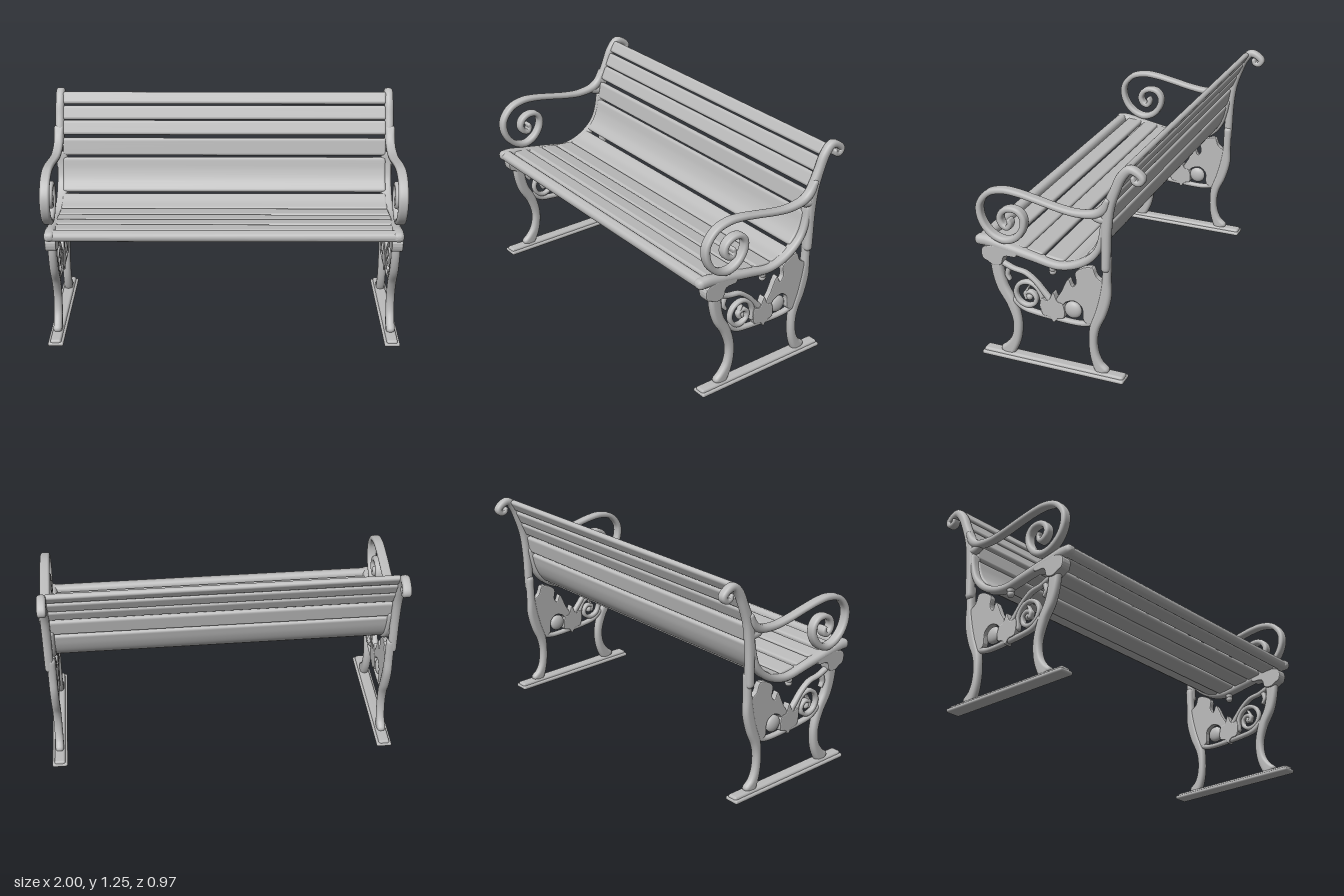
import * as THREE from 'three';

const paint = new THREE.MeshStandardMaterial({ color: 0xbcbcbc });
paint.name = 'pale grey paint';

// Rounded-rectangle outline: u lies in the side plane, x runs across the bench
function outline(w, d, r) {
  const ring = [];
  for (let c = 0; c < 4; c++) {
    const su = c === 0 || c === 3 ? 1 : -1, sx = c < 2 ? 1 : -1;
    for (let k = 0; k < 4; k++) {
      const a = (c + k / 3) * Math.PI / 2;
      ring.push([su * (w / 2 - r) + r * Math.cos(a), sx * (d / 2 - r) + r * Math.sin(a)]);
    }
  }
  return ring;
}

// Bar swept along a side-plane path; points are [z, y, width] in hundredths
function bar(name, points, depth, steps = points.length * 6) {
  const curve = new THREE.CatmullRomCurve3(points.map(([z, y, w]) => new THREE.Vector3(w, y, z).multiplyScalar(0.01)));
  const pos = [], index = [], M = 16;
  const centres = [];
  let rings = 0;
  const addRing = (t, shift, inset) => {
    const p = curve.getPoint(t), g = curve.getTangent(t);
    const len = Math.hypot(g.y, g.z), ty = g.y / len, tz = g.z / len;
    const r = Math.min(p.x, depth) * 0.4;
    const y = p.y + ty * shift * r, z = p.z + tz * shift * r;
    const k = inset * r;
    for (const [u, x] of outline(p.x - 2 * k, depth - 2 * k, r - k * 0.98)) pos.push(x, y - tz * u, z + ty * u);
    centres[rings++] = [0, y, z];
  };
  const round = [1.5, 1.0, 0.5];
  round.forEach(a => addRing(0, -Math.sin(a), 1 - Math.cos(a)));
  for (let i = 0; i <= steps; i++) addRing(i / steps, 0, 0);
  round.slice().reverse().forEach(a => addRing(1, Math.sin(a), 1 - Math.cos(a)));
  for (let i = 0; i < rings - 1; i++) {
    for (let j = 0; j < M; j++) {
      const a = i * M + j, b = i * M + (j + 1) % M;
      index.push(a, b, b + M, a, b + M, a + M);
    }
  }
  const first = rings * M, last = first + 1, end = (rings - 1) * M;
  pos.push(...centres[0], ...centres[rings - 1]);
  for (let j = 0; j < M; j++) {
    const k = (j + 1) % M;
    index.push(first, k, j, last, end + j, end + k);
  }
  const geo = new THREE.BufferGeometry();
  geo.setAttribute('position', new THREE.Float32BufferAttribute(pos, 3));
  geo.setIndex(index);
  geo.computeVertexNormals();
  return named(name, geo);
}

// Cast plate with a smooth outline; points are [z, y] in hundredths
function plate(name, points, depth) {
  const loop = new THREE.CatmullRomCurve3(points.map(([z, y]) => new THREE.Vector3(z / 100, y / 100, 0)), true);
  const shape = new THREE.Shape(loop.getPoints(points.length * 4).slice(0, -1).map(p => new THREE.Vector2(p.x, p.y)));
  const bevel = 0.006;
  const geo = new THREE.ExtrudeGeometry(shape, {
    depth: depth - 2 * bevel, bevelThickness: bevel, bevelSize: bevel, bevelOffset: -bevel, bevelSegments: 2,
  });
  geo.translate(0, 0, bevel - depth / 2);
  geo.rotateY(-Math.PI / 2);
  return named(name, geo);
}

function named(name, geo) {
  const mesh = new THREE.Mesh(geo, paint);
  mesh.name = name;
  return mesh;
}

function boss(name, z, y, r, depth) {
  const mesh = named(name, new THREE.SphereGeometry(1, 24, 16));
  mesh.scale.set(depth / 2, r / 100, r / 100);
  mesh.position.set(0, y / 100, z / 100);
  return mesh;
}

// One cast end frame, centred on its own x = 0
function endFrame(name, side) {
  const g = new THREE.Group();
  g.name = name;

  // Foot rail with a wider sole
  g.add(bar('footSole', [[45.4, 1.1, 2.2], [4.6, 1.1, 2.2], [-36.2, 1.1, 2.2]], 0.088));
  g.add(bar('footRail', [[44.5, 2.2, 3], [4.6, 2.2, 3], [-35.3, 2.2, 3]], 0.062));

  // Legs and back post, ending in a small scroll
  g.add(bar('frontLeg', [[36.3, 62, 8], [36.3, 53, 7], [33.9, 43, 6.4], [28.7, 33.7, 5.8], [25.6, 22.7, 5],
    [26.6, 13, 5.4], [30, 6.3, 7], [32.5, 3.5, 8]], 0.048));
  g.add(bar('backLeg', [[-24, 3.5, 8], [-21.5, 7, 6], [-19.4, 13, 4.8], [-18.7, 21, 4.4], [-19.7, 29.3, 5.4],
    [-23.3, 38.7, 6.2], [-26, 49.3, 6.2], [-26.7, 59.3, 4.6], [-27, 71, 4.7]], 0.048));
  const post = bar('backPost', [[-26.7, 66, 4.7], [-27, 75, 4.8], [-27.2, 87.7, 5.5], [-28.7, 101, 6], [-32.3, 111, 5.3],
    [-35.7, 118.7, 5.2], [-40, 123.1, 4.6], [-44.2, 122, 3.9], [-46.8, 119.3, 3.6], [-45.3, 117, 3.3],
    [-42.7, 117.4, 2.8], [-41.9, 119.3, 2.3]], 0.05);
  post.position.x = side * 0.012;
  g.add(post);

  // Seat rail sweeping up into the post
  g.add(bar('seatRail', [[46.5, 68.6, 5.6], [42, 68.6, 6], [34, 67.3, 5.5], [28.7, 66.5, 5], [15.3, 64.2, 4.6],
    [0.3, 62, 4], [-9.7, 64.5, 4], [-17.3, 69.3, 4], [-22, 75, 3.6], [-24.7, 82.7, 3.6], [-26, 90, 4]], 0.062));
  g.add(plate('frontBracket', [[44, 65], [43.8, 59], [41, 57.6], [38, 56], [33, 57], [31, 62], [24, 63], [24, 66], [34, 68]], 0.062));
  g.add(boss('railStud', 4, 57.5, 2, 0.04));
  g.add(bar('railStudNeck', [[4, 62, 4.4], [4, 59, 3.6]], 0.04));

  // Armrest ending in a large spiral
  const arm = bar('armrest', [[-28.5, 105, 3], [-25.8, 99.5, 4.8], [-21.3, 96.2, 4.4], [-11.3, 94.7, 3.5], [-1.3, 95.7, 3.1],
    [12, 98.3, 3], [22, 100, 3.2], [30.3, 100.3, 3.4], [38.7, 97.7, 3.4], [44.1, 91, 3.4], [44.4, 84.3, 3.5],
    [41.3, 77.5, 3.5], [35.7, 73, 3.6], [29.7, 71.8, 3.8], [23.7, 74.5, 3.8], [19.6, 80.3, 3.6], [19.1, 86, 3.5],
    [22, 89.8, 3.3], [27, 90.4, 3.2], [31.1, 88.2, 3.3], [32.7, 84.3, 3.4], [31.2, 80.7, 3.4], [28.2, 79.7, 3.2],
    [26.7, 82, 2.8], [27.3, 84, 2.2]], 0.055, 180);
  arm.position.x = side * 0.0175;
  g.add(arm);
  const brace = bar('armBrace', [[-20.5, 95, 4.5], [-23, 93.7, 4.2], [-27, 93.5, 4.5]], 0.045);
  brace.position.x = side * 0.014;
  g.add(brace);

  // Openwork panel between the legs
  g.add(plate('rearWeb', [[-9.5, 60.5], [-19, 65], [-21.5, 60], [-25.5, 57], [-28.4, 52], [-27, 44], [-21.5, 34],
    [-17, 31], [-13.8, 32.5], [-13, 40], [-9, 43], [-4, 41.5], [-1, 38.5], [2, 41], [-1, 47], [-5.5, 55.5], [-7.7, 51.5], [-9.8, 54]], 0.035));
  g.add(boss('rearBoss', -7.3, 37, 4.9, 0.05));
  g.add(plate('centreLeaf', [[10.3, 41], [6.5, 40.5], [3.4, 46], [1, 41], [-2, 40], [-2.8, 32], [1, 30.5], [3.4, 27.8], [5.6, 30.5], [10, 31.5]], 0.042));
  g.add(bar('lowerBand', [[27, 36, 3.4], [21.5, 32.2, 3], [14, 30.8, 2.8], [4, 30.2, 3.2], [-6, 29.6, 2.6],
    [-13, 30, 2.8], [-19, 32, 3.6]], 0.034));
  g.add(bar('upperStem', [[33, 57, 3], [27, 54.8, 2.6], [20, 53.5, 2.6], [14, 49.5, 2.6], [9.5, 44.5, 3], [5, 39, 4]], 0.034));
  g.add(bar('leafTip', [[30, 54, 2.8], [30.8, 50.5, 2.6], [29.5, 47.8, 1.8]], 0.03));
  g.add(bar('scroll', [[10.5, 35, 3], [10.8, 41.5, 2.6], [14, 46.5, 2.5], [19, 48.3, 2.5], [24, 46, 2.5], [26, 41, 2.6],
    [23.8, 36, 2.6], [19, 34.3, 2.6], [14.8, 36.6, 2.4], [14.3, 40.5, 2.4], [17, 42.8, 2.4], [20.3, 41.5, 2.4], [19.6, 38.8, 2.4]], 0.034));
  g.add(boss('scrollBud', 18.2, 39.6, 2, 0.036));
  g.add(bar('scrollLeaf', [[20.5, 41, 2.2], [19.2, 43.8, 1.6], [18.2, 45.8, 1]], 0.028));

  g.position.x = side * 0.955;
  return g;
}

export function createModel() {
  const bench = new THREE.Group();
  bench.name = 'gardenBench';
  bench.add(endFrame('leftEndFrame', 1), endFrame('rightEndFrame', -1));

  // Slats: side-plane path of each board, [z, y] in hundredths
  const slats = (name, list, thick) => list.forEach((path, i) =>
    bench.add(bar(name + (i + 1), path.map(([z, y]) => [z, y, thick]), 1.9)));
  bench.add(bar('frontSlat', [[44.2, 68.7, 5.6], [46.3, 68.3, 5.2]], 1.96));
  slats('seatSlat', [
    [[39.2, 68.6], [32.2, 68]],
    [[28.4, 67.4], [21.6, 66.5]],
    [[18.9, 66.1], [11.4, 65]],
    [[7.7, 64.4], [-1, 63.4]],
    [[-3.8, 63.7], [-9, 65], [-13.8, 67.7]],
  ], 3);
  slats('backSlat', [
    [[-16.8, 70.3], [-20.5, 75], [-23, 80.5], [-24.6, 86.6]],
    [[-25.4, 90.2], [-26.8, 97.8]],
    [[-28, 102], [-30.5, 107.4]],
    [[-31.5, 110.2], [-34, 115.4]],
    [[-35.2, 118.6], [-37.6, 122.6]],
  ], 3.2);
  return bench;
}
